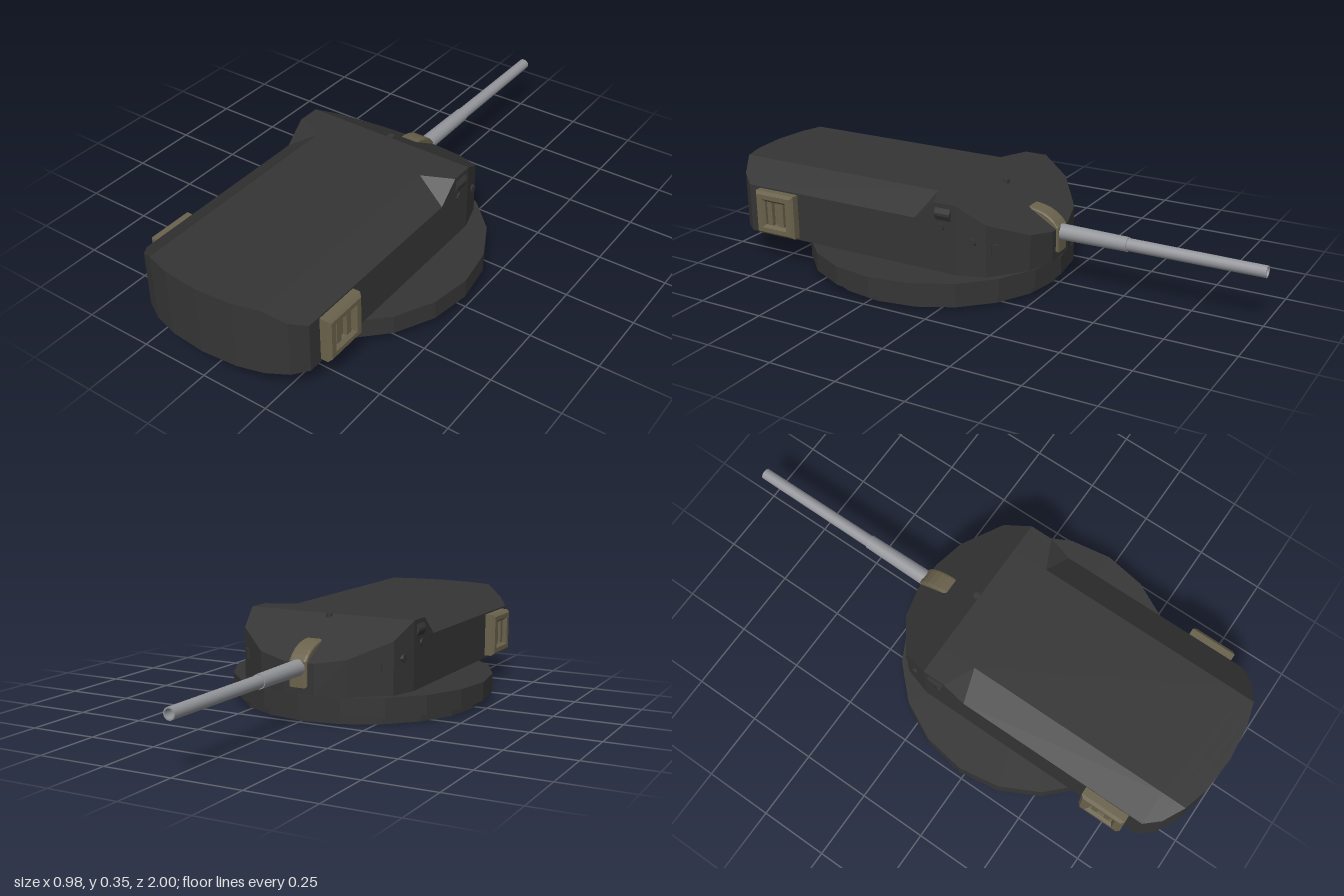
import * as THREE from 'three';

const mat = (name, color) => {
  const m = new THREE.MeshStandardMaterial({ color, flatShading: name !== 'barrel grey' });
  m.name = name;
  return m;
};

// Loft closed cross-sections (each counter-clockwise seen from +z), ordered from +z to -z
function loft(sections) {
  const v = [], tri = (...p) => p.forEach(q => v.push(...q));
  const n = sections[0].length;
  for (let i = 0; i + 1 < sections.length; i++) {
    const a = sections[i], b = sections[i + 1];
    for (let j = 0; j < n; j++) {
      const k = (j + 1) % n;
      tri(a[j], b[j], b[k]);
      tri(a[j], b[k], a[k]);
    }
  }
  const first = sections[0], last = sections[sections.length - 1];
  for (let j = 1; j + 1 < n; j++) {
    tri(first[0], first[j], first[j + 1]);
    tri(last[0], last[j + 1], last[j]);
  }
  const g = new THREE.BufferGeometry();
  g.setAttribute('position', new THREE.Float32BufferAttribute(v, 3));
  g.computeVertexNormals();
  return g;
}

export function createModel() {
  const root = new THREE.Group();
  root.name = 'gunTurret';
  const armour = mat('dark armour', 0x353535);
  const steel = mat('barrel grey', 0x94969b);
  const tan = mat('olive tan', 0x6a624c);

  const add = (name, geo, m, x = 0, y = 0, z = 0, parent = root) => {
    const mesh = new THREE.Mesh(geo, m);
    mesh.name = name;
    mesh.position.set(x, y, z);
    parent.add(mesh);
    return mesh;
  };

  // Stepped turning ring
  add('ringFoot', new THREE.CylinderGeometry(0.455, 0.455, 0.03, 20), armour, 0, 0.015, 0.225);
  add('ring', new THREE.CylinderGeometry(0.49, 0.49, 0.07, 20), armour, 0, 0.065, 0.235);

  // Gun house: chamfered body, full-width shoulders, then sloped front plate
  const section = (w, shoulder, top, zs, zt = zs, zb = zs) => {
    const t = Math.min(w, 0.22);
    return [[w, 0.1, zb], [w, shoulder, zs], [t, top, zt],
      [-t, top, zt], [-w, shoulder, zs], [-w, 0.1, zb]];
  };
  const chamfer = w => 0.35 - Math.max(0, w - 0.22) * 0.636;
  const sections = [[0, 0.996], [0.13, 0.985], [0.22, 0.96], [0.29, 0.92], [0.33, 0.87]]
    .map(([w, z]) => section(w, chamfer(w), 0.35, z));
  sections.push(section(0.33, 0.28, 0.35, 0.145, 0.115));
  sections.push(section(0.33, 0.35, 0.35, 0.065, 0.115, 0.145));
  for (const [w, z] of [[0.33, -0.02], [0.3, -0.12], [0.17, -0.22], [0.06, -0.25]]) {
    const y = 0.35 + (z + 0.02) * 0.6;
    sections.push(section(w, y, y, z));
  }
  add('gunHouse', loft(sections), armour);

  // Curved gun shield around the barrel root
  const shield = new THREE.Shape();
  shield.moveTo(0.12, 0.13);
  shield.lineTo(0.253, 0.13);
  shield.lineTo(0.253, 0.215);
  shield.quadraticCurveTo(0.22, 0.265, 0.14, 0.272);
  shield.lineTo(0.12, 0.25);
  const shieldGeo = new THREE.ExtrudeGeometry(shield, {
    depth: 0.05, bevelThickness: 0.01, bevelSize: 0.006, bevelSegments: 2, curveSegments: 5,
  });
  shieldGeo.translate(0, 0, -0.025).rotateY(Math.PI / 2);
  add('gunShield', shieldGeo, tan);

  // Stepped barrel with an open bore
  const tube = (name, pts) => {
    const g = new THREE.LatheGeometry(pts.map(p => new THREE.Vector2(...p)), 16);
    g.rotateX(-Math.PI / 2);
    add(name, g, steel, 0, 0.194, 0);
  };
  tube('barrelSleeve', [[0.03, 0.2], [0.026, 0.51]]);
  tube('barrelStep', [[0.026, 0.51], [0.022, 0.51]]);
  tube('barrel', [[0.023, 0.5], [0.021, 1]]);
  tube('muzzleRim', [[0.021, 1], [0.016, 1]]);
  tube('bore', [[0.016, 1], [0.016, 0.9], [0, 0.9]]);

  // Fittings on both flanks
  for (const s of [1, -1]) {
    const vent = new THREE.Group();
    vent.name = s > 0 ? 'leftVent' : 'rightVent';
    vent.position.set(s * 0.33, 0.1925, 0.735);
    vent.rotation.y = s * Math.PI / 2;
    root.add(vent);
    const frame = new THREE.Shape();
    frame.moveTo(-0.075, -0.072);
    frame.lineTo(0.075, -0.072);
    frame.lineTo(0.075, 0.072);
    frame.lineTo(-0.075, 0.072);
    const hole = new THREE.Path();
    hole.moveTo(-0.055, -0.055);
    hole.lineTo(-0.055, 0.055);
    hole.lineTo(0.055, 0.055);
    hole.lineTo(0.055, -0.055);
    frame.holes.push(hole);
    add('ventFrame', new THREE.ExtrudeGeometry(frame, {
      depth: 0.027, bevelThickness: 0.011, bevelSize: 0.01, bevelSegments: 1,
    }), tan, 0, 0, 0, vent);
    add('ventBack', new THREE.BoxGeometry(0.13, 0.13, 0.01), tan, 0, 0, 0.007, vent);
    for (const x of [-0.025, 0.025])
      add('ventSlat', new THREE.BoxGeometry(0.022, 0.1, 0.018), tan, x, 0, 0.018, vent);

    // Sight hood with a tapered outer face
    const hood = new THREE.Shape();
    hood.moveTo(0, 0.288);
    hood.lineTo(0.01, 0.308);
    hood.lineTo(0.01, 0.317);
    hood.lineTo(0, 0.336);
    const hoodGeo = new THREE.ExtrudeGeometry(hood, { depth: 0.06, bevelEnabled: false });
    hoodGeo.translate(0, 0, -0.03);
    if (s < 0) hoodGeo.rotateY(Math.PI);
    add('sightHood', hoodGeo, armour, s * 0.329, 0, 0.03);

    // Small round ports and a square port
    for (const [x, y, z] of [[0.328, 0.265, 0.04], [0.313, 0.225, -0.075]]) {
      const port = add('roundPort', new THREE.CylinderGeometry(0.014, 0.014, 0.016, 8), armour, s * x, y, z);
      port.rotation.z = Math.PI / 2;
    }
    const square = add('squarePort', new THREE.BoxGeometry(0.025, 0.035, 0.012), armour, s * 0.276, 0.2, -0.14);
    square.rotation.y = s * 2.49;
  }

  // Roof periscope at the edge of the front plate
  add('periscope', new THREE.CylinderGeometry(0.013, 0.013, 0.02, 8), armour, 0, 0.342, -0.03);
  return root;
}
